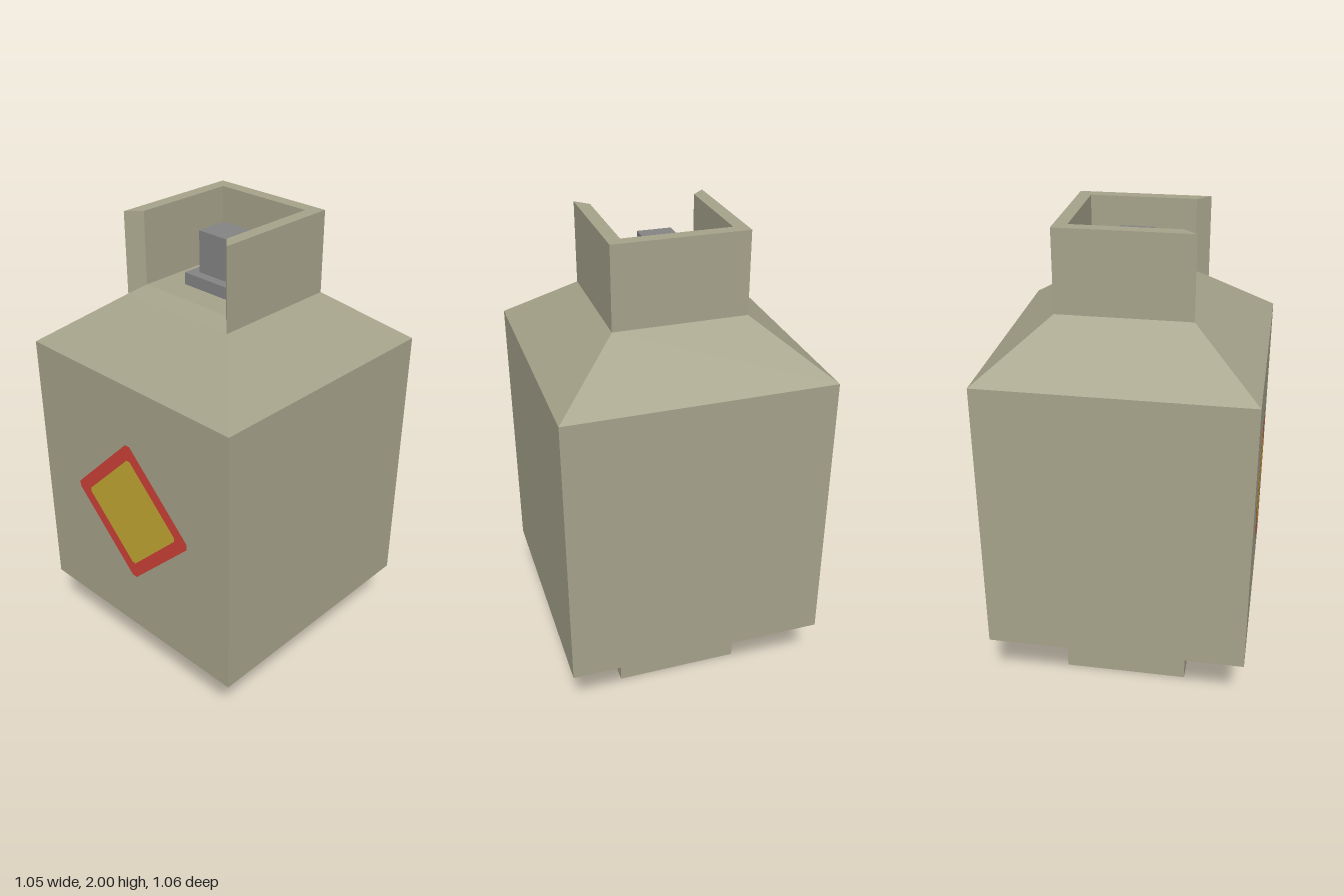
import * as THREE from 'three';

const material = (name, color, extra = {}) => {
  const m = new THREE.MeshStandardMaterial({ color, flatShading: true, ...extra });
  m.name = name;
  return m;
};

// Closed outline from corner points
const outline = (points) => points.map(([x, y]) => new THREE.Vector2(x, y));

// Diamond with slightly blunted tips
const diamond = (r, b) => outline([
  [r, -b], [r, b], [b, r], [-b, r], [-r, b], [-r, -b], [-b, -r], [b, -r],
]);

export function createModel() {
  const group = new THREE.Group();
  group.name = 'gasBottle';

  const paint = material('khakiPaint', 0xa5a28a);
  const metal = material('greyMetal', 0x838383);
  const red = material('labelRed', 0xcb4035);
  const yellow = material('labelYellow', 0xc1a632);

  const add = (name, geometry, mat, x = 0, y = 0, z = 0) => {
    const mesh = new THREE.Mesh(geometry, mat);
    mesh.name = name;
    mesh.position.set(x, y, z);
    group.add(mesh);
    return mesh;
  };

  const half = 0.527, outer = 0.262, inner = 0.21;

  // Square tank: foot, lower taper, body, shoulder and flat top in one profile
  const profile = [
    [0, 0], [outer, 0], [outer, 0.115], [half, 0.325],
    [half, 1.475], [outer, 1.675], [inner, 1.712], [0, 1.712],
  ].map(([r, y]) => new THREE.Vector2(r * Math.SQRT2, y));
  add('tank', new THREE.LatheGeometry(profile, 4, Math.PI / 4), paint);

  // Three-sided valve guard, open to the front with mitred ends
  const guard = new THREE.ExtrudeGeometry(new THREE.Shape(outline([
    [-outer, -outer], [-inner, -inner], [-inner, inner], [inner, inner],
    [inner, -inner], [outer, -outer], [outer, outer], [-outer, outer],
  ])), { depth: 0.325, bevelEnabled: false });
  guard.rotateX(-Math.PI / 2);
  add('valveGuard', guard, paint, 0, 1.675, 0);

  // Valve
  add('valveBase', new THREE.BoxGeometry(0.214, 0.048, 0.214), metal, 0, 1.736, 0);
  add('valveStem', new THREE.BoxGeometry(0.134, 0.165, 0.134), metal, 0, 1.8425, 0);

  // Warning label on the front
  const border = new THREE.Shape(diamond(0.313, 0.012));
  border.holes.push(new THREE.Path(diamond(0.245, 0.008)));
  add('labelBorder', new THREE.ShapeGeometry(border), red, 0, 0.903, half + 0.003);
  add('labelCentre', new THREE.ShapeGeometry(new THREE.Shape(diamond(0.245, 0.008))),
    yellow, 0, 0.903, half + 0.003);

  return group;
}
